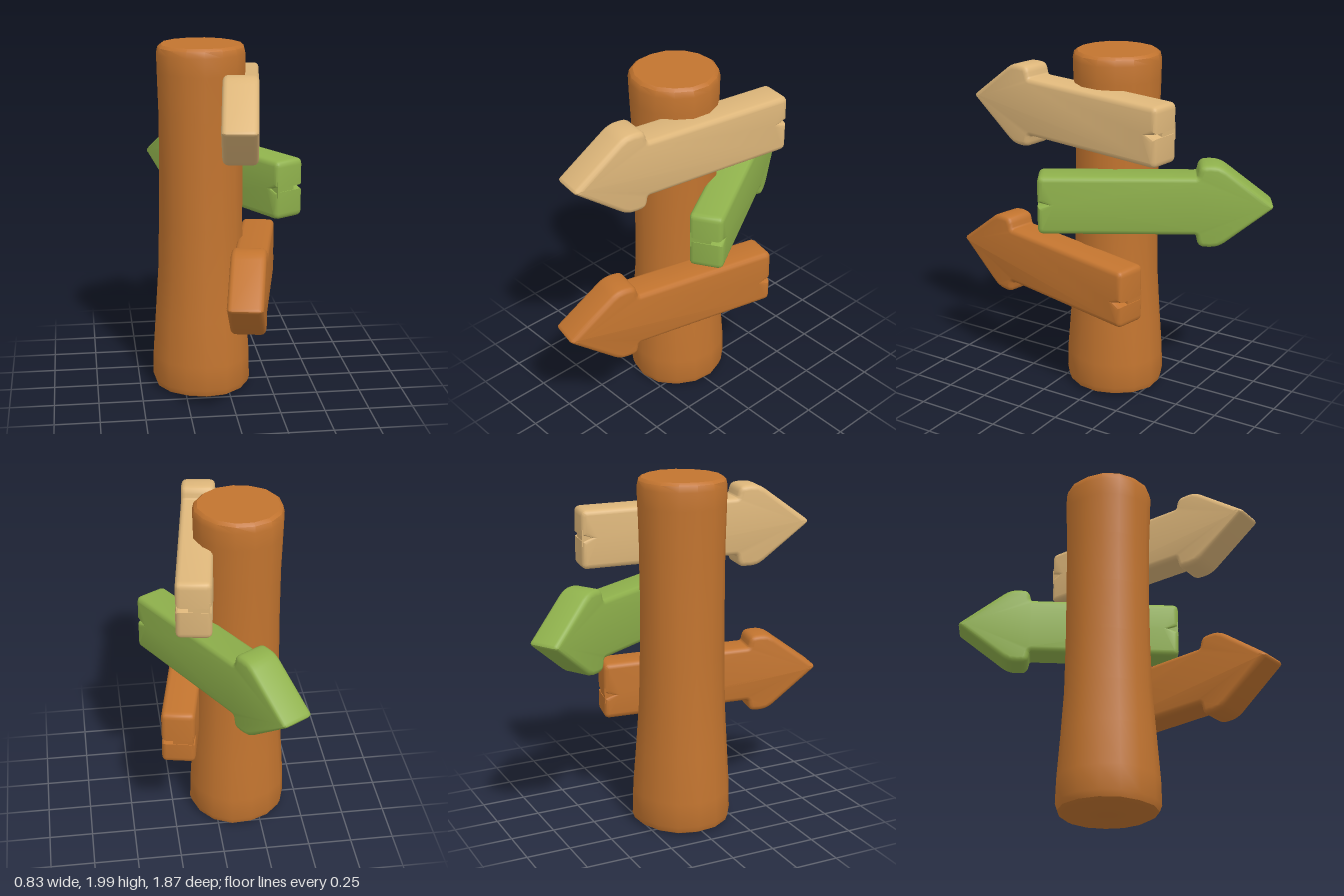
import * as THREE from 'three';
import { toCreasedNormals } from 'three/addons/utils/BufferGeometryUtils.js';

const wood = new THREE.MeshStandardMaterial({ color: 0xc2742f });
wood.name = 'orange wood';
const paleWood = new THREE.MeshStandardMaterial({ color: 0xddb67a });
paleWood.name = 'pale wood';
const greenPaint = new THREE.MeshStandardMaterial({ color: 0x8fb14c });
greenPaint.name = 'green paint';

const THICK = 0.19;
const BEVEL = 0.028;

// Closed shape from [x, y, cornerRadius] points
function roundedShape(points) {
  const shape = new THREE.Shape();
  const n = points.length;
  points.forEach(([x, y, r], i) => {
    const p = new THREE.Vector2(x, y);
    const toward = (q) => new THREE.Vector2(q[0], q[1]).sub(p).setLength(r).add(p);
    const a = r ? toward(points[(i + n - 1) % n]) : p;
    if (i === 0) shape.moveTo(a.x, a.y);
    else shape.lineTo(a.x, a.y);
    if (r) {
      const b = toward(points[(i + 1) % n]);
      shape.quadraticCurveTo(x, y, b.x, b.y);
    }
  });
  shape.closePath();
  return shape;
}

// Arrow board from tail to tip (x, z), with a crack in the tail of its outer face
function arrowBoard(name, material, tail, tip, y, slope, crackY, outer) {
  const dx = tip[0] - tail[0], dz = tip[1] - tail[1];
  const L = Math.hypot(dx, dz);
  const points = [
    [0, -0.165, 0.035],
    [0.67 * L, -0.163, 0.012],
    [0.68 * L, -0.232, 0.035],
    [0.765 * L, -0.236, 0.05],
    [L, 0, 0.025],
    [0.765 * L, 0.236, 0.05],
    [0.68 * L, 0.232, 0.035],
    [0.67 * L, 0.167, 0.012],
    [0, 0.165, 0.035],
    [0, crackY + 0.012, 0],
    [0.05, crackY, 0],
    [0, crackY - 0.012, 0],
  ].map(([u, v, r]) => [u, v + slope * u, r]);

  const depth = THICK - 2 * BEVEL;
  const geometry = new THREE.ExtrudeGeometry(roundedShape(points), {
    depth, curveSegments: 4, bevelEnabled: true, bevelSegments: 3,
    bevelThickness: BEVEL, bevelSize: BEVEL, bevelOffset: -BEVEL,
  });
  geometry.translate(0, 0, -depth / 2);

  const board = new THREE.Group();
  board.name = name;
  const plank = new THREE.Mesh(toCreasedNormals(geometry, 0.6), material);
  plank.name = name + 'Plank';
  // Core that closes the crack behind the outer face
  const core = new THREE.Mesh(new THREE.BoxGeometry(0.13, 0.09, THICK * 0.6), material);
  core.name = name + 'Core';
  core.position.set(0.068, crackY, -outer * THICK * 0.15);
  board.add(plank, core);
  board.position.set(tail[0], y, tail[1]);
  board.rotation.y = Math.atan2(-dz, dx);
  return board;
}

// Log with a flared foot and slightly uneven hewn sides
function createPost() {
  const profile = [
    [0, 0.01], [0.245, 0.01], [0.272, 0.025], [0.284, 0.06], [0.28, 0.2],
    [0.262, 0.45], [0.245, 0.7], [0.238, 1.0], [0.236, 1.3], [0.238, 1.6],
    [0.246, 1.85], [0.248, 1.95], [0.24, 1.985], [0.222, 2.0], [0, 2.0],
  ].map(([r, y]) => new THREE.Vector2(r, y));
  const geometry = new THREE.LatheGeometry(profile, 15);
  const p = geometry.attributes.position;
  for (let i = 0; i < p.count; i++) {
    const x = p.getX(i), y = p.getY(i), z = p.getZ(i);
    const a = Math.atan2(x, z);
    const k = 1 + 0.012 * Math.sin(3 * a + 2 * y) + 0.01 * Math.sin(5 * a - 3 * y);
    p.setXYZ(i, x * k, y, z * k);
  }
  const post = new THREE.Mesh(toCreasedNormals(geometry, 0.65), wood);
  post.name = 'post';
  post.position.set(-0.137, 0, -0.008);
  return post;
}

export function createModel() {
  const model = new THREE.Group();
  model.name = 'signpost';
  model.add(
    createPost(),
    arrowBoard('topBoard', paleWood, [0.163, -0.495], [-0.03, 0.838], 1.65, 0.016, 0.01, -1),
    arrowBoard('middleBoard', greenPaint, [0.335, 0.205], [-0.325, -0.905], 1.215, 0, 0.005, 1),
    arrowBoard('bottomBoard', wood, [0.24, -0.34], [-0.015, 0.93], 0.73, 0.035, -0.025, -1),
  );
  return model;
}
